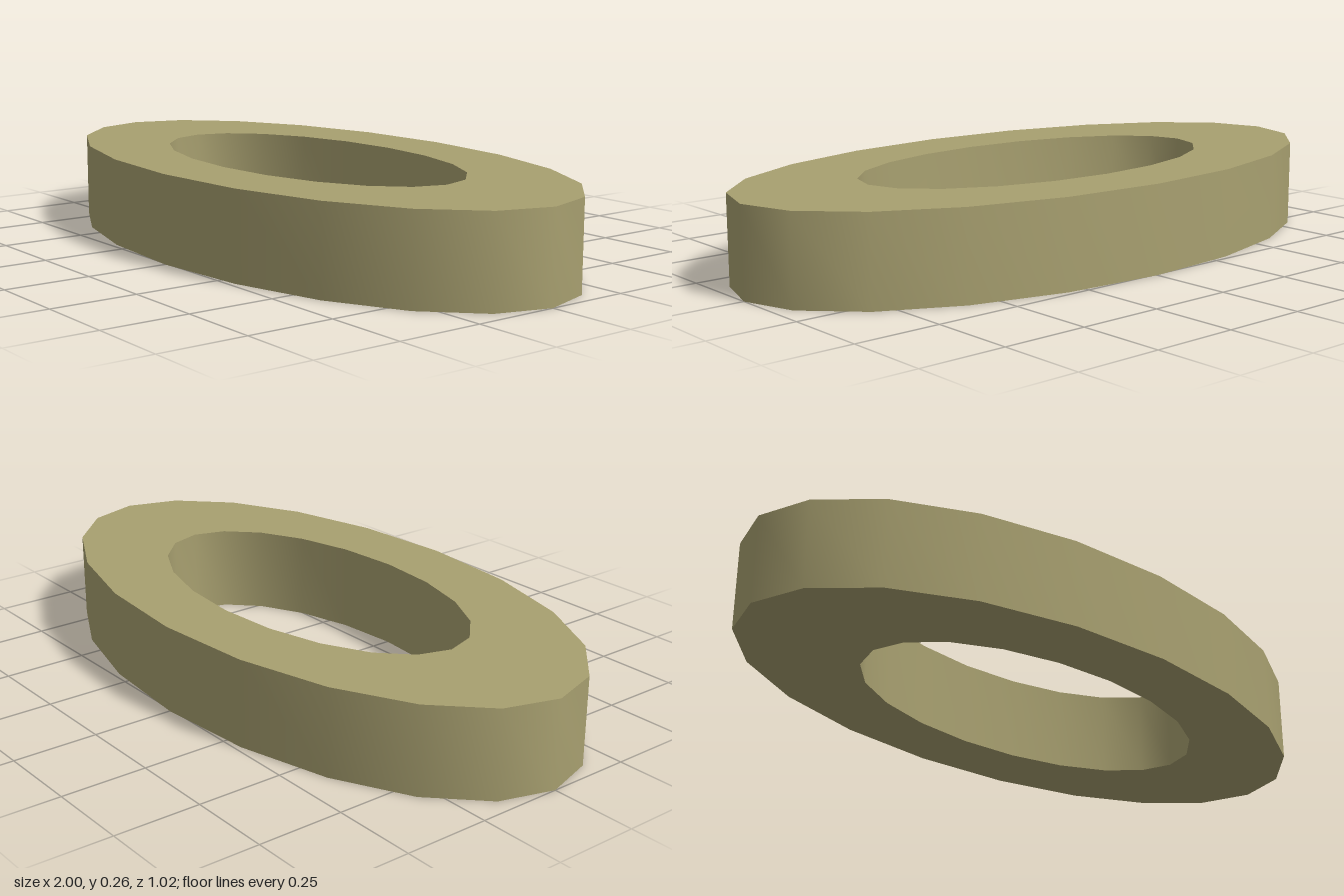
import * as THREE from 'three';
import { toCreasedNormals } from 'three/addons/utils/BufferGeometryUtils.js';

const HEIGHT = 0.257;
const INNER = 0.605;   // hole radius relative to the outer radius
const DEPTH = 0.508;   // half depth along z
const SIDES = 20;

export function createModel() {
  const group = new THREE.Group();
  group.name = 'ovalRing';

  // Closed rectangular section, turned into a ring and squashed to an oval
  const section = [
    [INNER, 0], [1, 0], [1, HEIGHT], [INNER, HEIGHT], [INNER, 0],
  ].map(([r, y]) => new THREE.Vector2(r, y));
  const geometry = new THREE.LatheGeometry(section, SIDES);
  geometry.scale(1, 1, DEPTH);

  // Smooth walls, sharp rims
  const ring = new THREE.Mesh(
    toCreasedNormals(geometry, Math.PI / 3),
    new THREE.MeshStandardMaterial({ color: 0xa8a070 }),
  );
  ring.name = 'ring';
  group.add(ring);
  return group;
}
